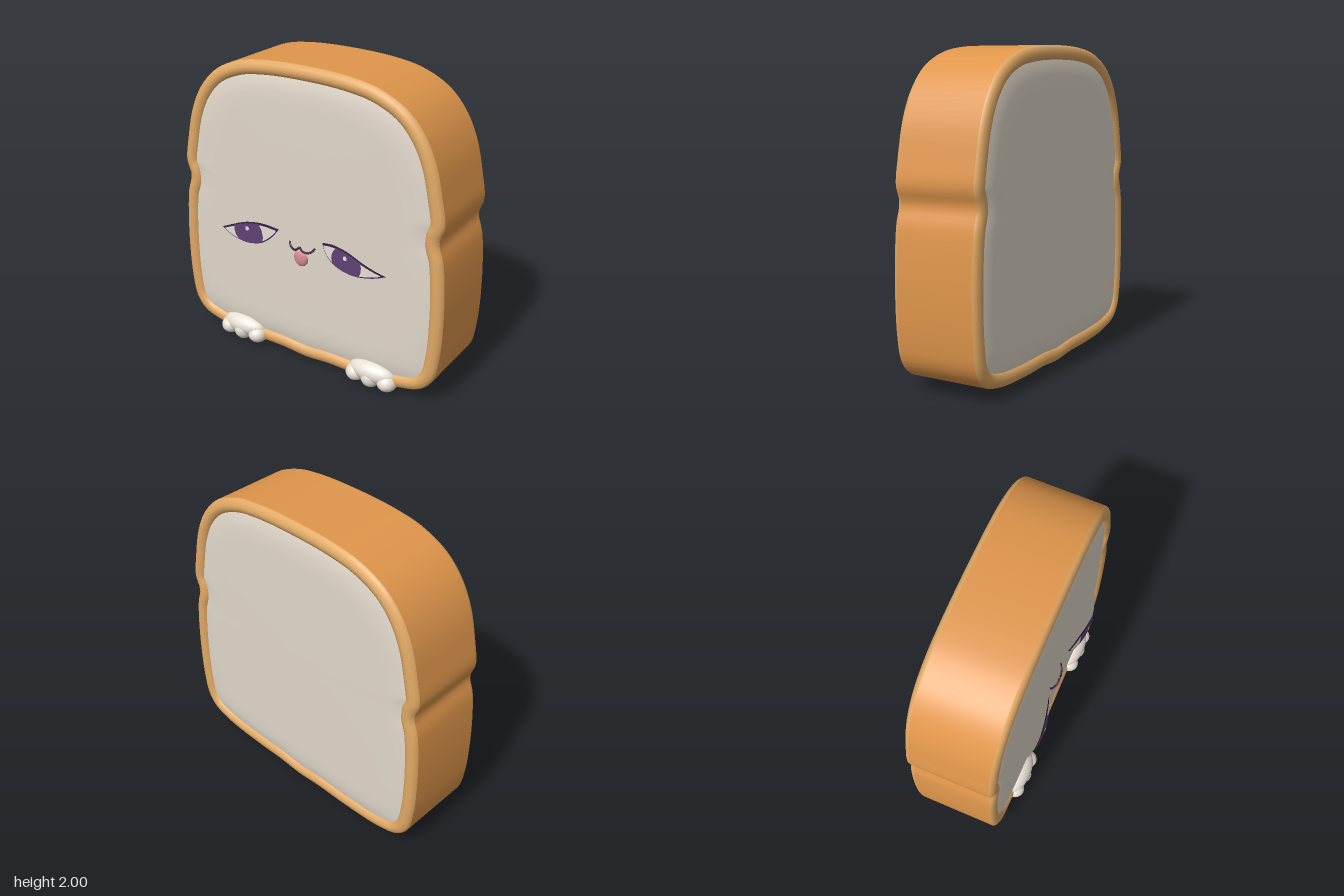
import * as THREE from 'three';

const mat = (name, color) => Object.assign(new THREE.MeshStandardMaterial({ color }), { name });
const MID = -0.045; // middle of the slice in z
const FACE = 0.238; // z of the flat front

// Closed, mirrored slice outline, clockwise from the top centre
function outline() {
  const half = [[0.3, 1.985], [0.5, 1.95], [0.68, 1.865], [0.8, 1.74], [0.88, 1.58], [0.93, 1.38],
    [0.955, 1.21], [0.925, 1.11], [0.955, 1.0], [0.972, 0.85], [0.98, 0.6], [0.968, 0.35],
    [0.935, 0.19], [0.86, 0.1], [0.7, 0.05], [0.4, 0.03], [0.18, 0.03]];
  const left = half.map(([x, y]) => [-x, y]).reverse();
  const pts = [[0, 1.997], ...half, [0, 0.018], ...left].map(([x, y]) => new THREE.Vector3(x, y, 0));
  const curve = new THREE.CatmullRomCurve3(pts, true);
  const N = 200;
  return Array.from({ length: N }, (_, i) => {
    const p = curve.getPointAt(i / N), t = curve.getTangentAt(i / N);
    return { x: p.x, y: p.y, nx: -t.y, ny: t.x };
  });
}

// Skin rings described by inset from the outline, scale towards the centre, and z
function loft(loop, rings) {
  const pos = [], idx = [], n = loop.length;
  for (const { inset, scale = 1, z } of rings)
    for (const p of loop)
      pos.push((p.x - p.nx * inset) * scale, 1 + (p.y - p.ny * inset - 1) * scale, z);
  for (let i = 0; i < rings.length - 1; i++)
    for (let j = 0; j < n; j++) {
      const a = i * n + j, b = i * n + (j + 1) % n;
      idx.push(a, b, a + n, b, b + n, a + n);
    }
  const g = new THREE.BufferGeometry();
  g.setAttribute('position', new THREE.Float32BufferAttribute(pos, 3));
  g.setIndex(idx);
  g.computeVertexNormals();
  return g;
}

// Relief of the face: a mound under each eye and a small muzzle
const bump = (x, y, cx, cy, rx, ry, h) => h * Math.max(0, 1 - ((x - cx) / rx) ** 2 - ((y - cy) / ry) ** 2);
const relief = (x, y) => FACE + Math.max(
  bump(Math.abs(x), y, 0.4, 0.885, 0.3, 0.175, 0.088),
  bump(x, y, 0, 0.83, 0.11, 0.11, 0.04));

// Sheet between two height functions of x, following the relief; side -1 mirrors it
function sheet(x0, x1, top, bottom, lift, side = 1) {
  const g = new THREE.PlaneGeometry(1, 1, 40, 10);
  const p = g.attributes.position, nor = g.attributes.normal;
  for (let i = 0; i < p.count; i++) {
    const u = p.getX(i) + 0.5, v = p.getY(i) + 0.5;
    const x = x0 + (x1 - x0) * (side > 0 ? u : 1 - u);
    const b = bottom(x), t = Math.max(b, top(x));
    const y = b + (t - b) * v;
    p.setXYZ(i, x * side, y, relief(x, y) + lift);
    nor.setXYZ(i, 0, 0, 1);
  }
  return g;
}

const arc = (cx, cy, rx, ry) => x => cy + ry * Math.sqrt(Math.max(0, 1 - ((x - cx) / rx) ** 2));

// Smooth height function through a few points
function heightCurve(points) {
  const s = new THREE.SplineCurve(points.map(p => new THREE.Vector2(...p))).getPoints(60);
  return x => {
    let i = 0;
    while (i < s.length - 2 && s[i + 1].x < x) i++;
    const k = THREE.MathUtils.clamp((x - s[i].x) / (s[i + 1].x - s[i].x), 0, 1);
    return s[i].y + (s[i + 1].y - s[i].y) * k;
  };
}

export function createModel() {
  const root = new THREE.Group();
  const crust = mat('crust orange', 0xe0964b), rimTan = mat('rim tan', 0xe0a864);
  const crumb = mat('crumb cream', 0xe0d7c9), paw = mat('paw cream', 0xe9e1d6);
  const purple = mat('iris purple', 0x5e4275), dark = mat('line purple', 0x3a2248);
  const white = mat('eye white', 0xe9e0d8), pink = mat('tongue pink', 0xdc8a92);
  const add = (name, geo, material, parent = root) => {
    const m = new THREE.Mesh(geo, material);
    m.name = name;
    parent.add(m);
    return m;
  };

  // Slice: crust band, rounded rims and soft crumb faces
  const loop = outline();
  add('crust', loft(loop, [{ inset: 0, z: MID + 0.25 }, { inset: 0, z: MID - 0.25 }]), crust);
  const rim = [[0.088, 0.262], [0.08, 0.274], [0.06, 0.284], [0.04, 0.285], [0.018, 0.276], [0.005, 0.264], [0, 0.25]];
  const dome = [[0, 0.283], [0.8, 0.283], [0.9, 0.28], [0.96, 0.272], [1, 0.262]];
  for (const s of [1, -1]) {
    const side = s > 0 ? 'front' : 'back';
    const order = a => (s > 0 ? a : a.reverse());
    add(side + 'Rim', loft(loop, order(rim.map(([inset, d]) => ({ inset, z: MID + s * d })))), rimTan);
    add(side + 'Crumb', loft(loop, order(dome.map(([scale, d]) => ({ inset: 0.086, scale, z: MID + s * d })))), crumb);
  }

  // Eyes on their mounds
  const upper = heightCurve([[0.165, 0.93], [0.25, 0.952], [0.33, 0.953], [0.41, 0.937], [0.51, 0.893], [0.622, 0.833]]);
  const lower = heightCurve([[0.165, 0.93], [0.205, 0.873], [0.275, 0.82], [0.355, 0.795], [0.43, 0.789], [0.54, 0.806], [0.622, 0.833]]);
  const inTop = x => upper(x) - 0.014, inBottom = x => lower(x) + 0.01;
  const disc = (cx, cy, rx, ry) => [arc(cx, cy, rx, ry), arc(cx, cy, rx, -ry)];
  const [moundTop, moundBottom] = disc(0.4, 0.885, 0.3, 0.175);
  const [irisTop, irisBottom] = disc(0.37, 0.87, 0.11, 0.105);
  const [glintTop, glintBottom] = disc(0.37, 0.907, 0.014, 0.014);
  for (const s of [1, -1]) {
    const eye = new THREE.Group();
    eye.name = s > 0 ? 'leftEye' : 'rightEye';
    root.add(eye);
    add('eyeMound', sheet(0.1, 0.7, moundTop, moundBottom, 0, s), crumb, eye);
    add('eyeOutline', sheet(0.165, 0.622, upper, lower, 0.003, s), dark, eye);
    add('eyeWhite', sheet(0.182, 0.59, inTop, inBottom, 0.005, s), white, eye);
    add('iris', sheet(0.26, 0.48, x => Math.min(inTop(x) + 0.006, irisTop(x)),
      x => Math.max(inBottom(x) - 0.004, irisBottom(x)), 0.007, s), purple, eye);
    add('glint', sheet(0.356, 0.384, glintTop, glintBottom, 0.009, s), white, eye);
  }

  // Muzzle, mouth and tongue
  add('muzzle', sheet(-0.11, 0.11, ...disc(0, 0.83, 0.11, 0.11), 0), crumb);
  for (const s of [1, -1]) {
    const pts = [[0.097, 0.862], [0.08, 0.838], [0.052, 0.826], [0.022, 0.834], [0, 0.858]]
      .map(([x, y]) => new THREE.Vector3(x * s, y, relief(x, y) + 0.004));
    add('mouthLine', new THREE.TubeGeometry(new THREE.CatmullRomCurve3(pts), 20, 0.007, 8), dark);
  }
  const tongue = add('tongue', new THREE.SphereGeometry(1, 24, 16), pink);
  tongue.scale.set(0.052, 0.06, 0.025);
  tongue.position.set(0, 0.778, 0.262);

  // Paws with three toes each
  for (const s of [1, -1]) {
    const foot = new THREE.Group();
    foot.name = s > 0 ? 'leftPaw' : 'rightPaw';
    foot.position.x = 0.51 * s;
    root.add(foot);
    const blob = (name, x, y, z, rx, ry, rz) => {
      const m = add(name, new THREE.SphereGeometry(1, 24, 16), paw, foot);
      m.position.set(x, y, z);
      m.scale.set(rx, ry, rz);
    };
    blob('pawTop', 0, 0.105, 0.21, 0.165, 0.075, 0.085);
    for (const t of [-1, 0, 1])
      blob('toe', t * 0.115, t ? 0.066 : 0.072, t ? 0.222 : 0.228, 0.066, t ? 0.06 : 0.072, 0.074);
  }
  return root;
}
